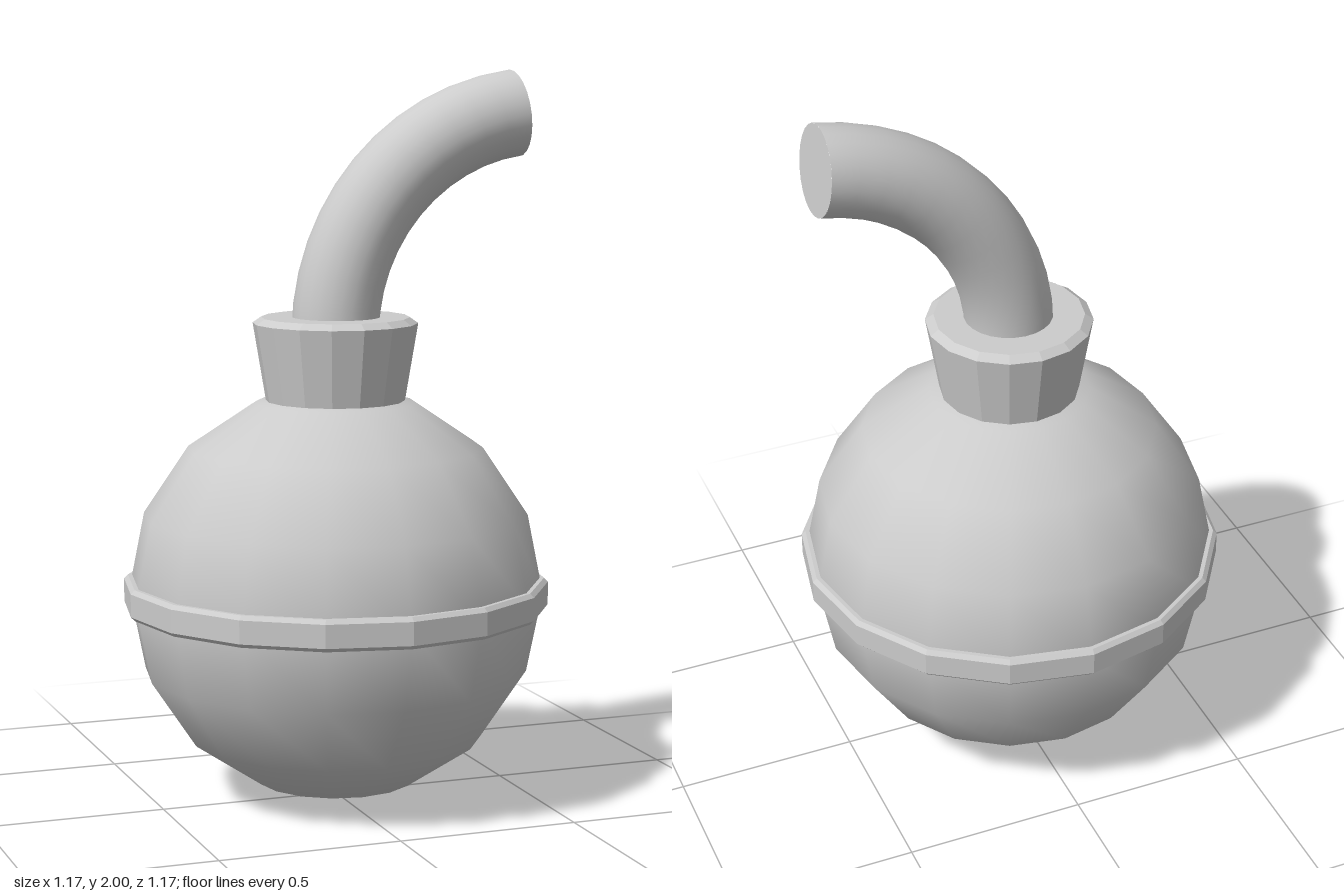
import * as THREE from 'three';

const SIDES = 16;
const smooth = new THREE.MeshStandardMaterial({ color: 0xcccccc });
const faceted = new THREE.MeshStandardMaterial({ color: 0xcccccc, flatShading: true });

function addMesh(parent, name, geometry, material) {
  const mesh = new THREE.Mesh(geometry, material);
  mesh.name = name;
  parent.add(mesh);
  return mesh;
}

// Profile points run from bottom to top on the outside
function lathe(points) {
  return new THREE.LatheGeometry(points.map(([r, y]) => new THREE.Vector2(r, y)), SIDES);
}

// Circular arc that leaves the collar upright and bends towards +x
class FuseArc extends THREE.Curve {
  getPoint(t, target = new THREE.Vector3()) {
    const radius = 0.598;
    const angle = t * THREE.MathUtils.degToRad(83);
    return target.set(radius * (1 - Math.cos(angle)), 1.287 + radius * Math.sin(angle), 0);
  }
}

export function createModel() {
  const model = new THREE.Group();
  model.name = 'roundBomb';

  // Round body
  const body = addMesh(model, 'body', new THREE.SphereGeometry(0.572, SIDES, 8), smooth);
  body.position.y = 0.572;

  // Bevelled band around the middle
  addMesh(model, 'band', lathe([
    [0.545, 0.53], [0.575, 0.53], [0.586, 0.541], [0.586, 0.604],
    [0.575, 0.615], [0.545, 0.615], [0.545, 0.53],
  ]), faceted);

  // Flared collar with a bevelled rim
  addMesh(model, 'collar', lathe([
    [0, 1.09], [0.188, 1.09], [0.226, 1.318], [0.203, 1.334], [0, 1.334],
  ]), faceted);

  // Bent fuse and its flat end
  const arc = new FuseArc();
  const fuseRadius = 0.12;
  addMesh(model, 'fuse', new THREE.TubeGeometry(arc, 12, fuseRadius, 24), smooth);
  const cap = addMesh(model, 'fuseEnd', new THREE.CircleGeometry(fuseRadius, 24), smooth);
  cap.position.copy(arc.getPoint(1));
  cap.quaternion.setFromUnitVectors(new THREE.Vector3(0, 0, 1), arc.getTangent(1));

  return model;
}
